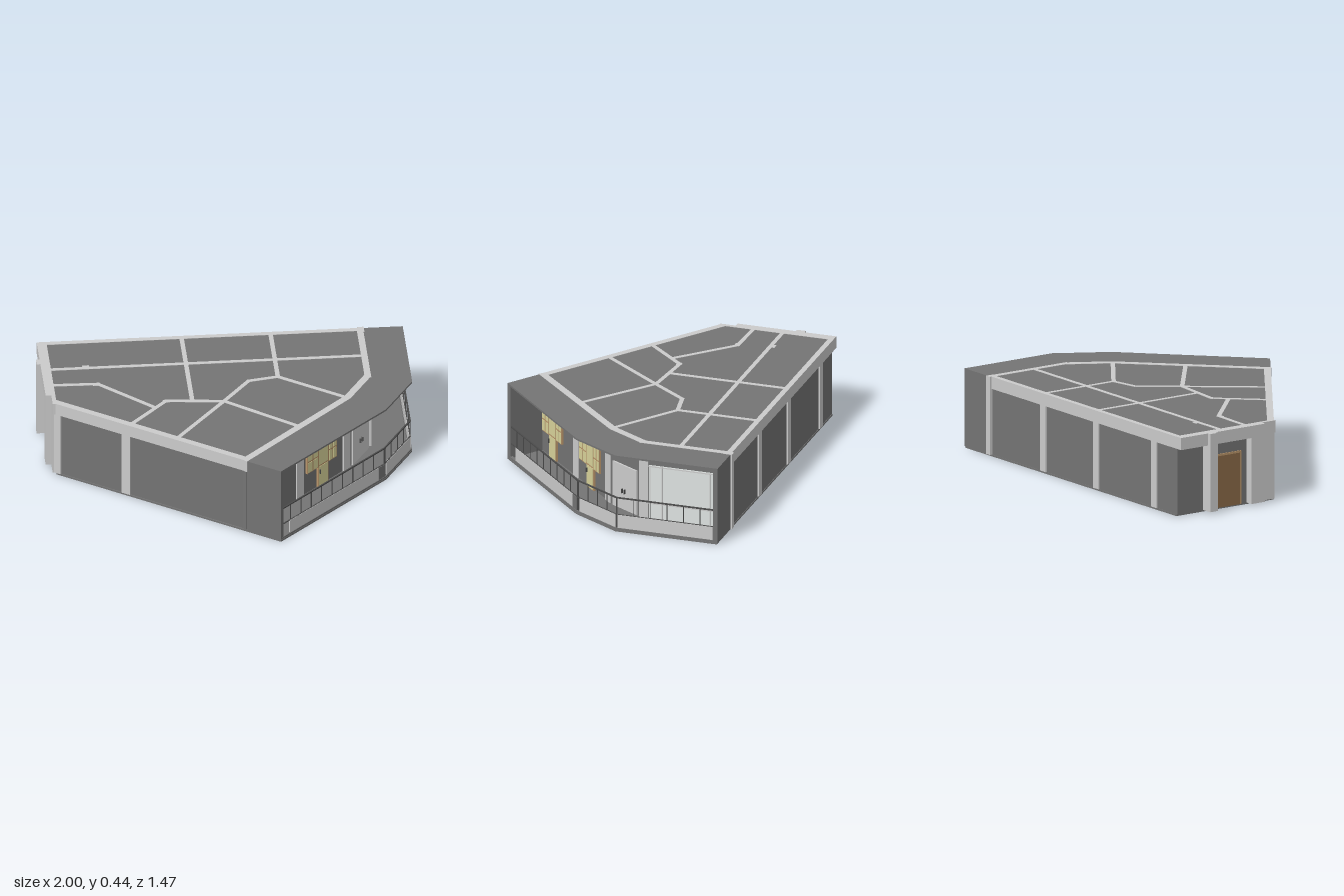
import * as THREE from 'three';

const mat = (color) => new THREE.MeshStandardMaterial({ color, flatShading: true });
const LIGHT = mat(0xcccccc), DARK = mat(0x747474), RAIL = mat(0x4c4c4c), GLASS = mat(0xdfe4e2),
  WHITE = mat(0xe2e2e2), WOOD = mat(0xb8946a), PANE = mat(0xd9d39a), DOOR = mat(0x8a6a48);

const FLOOR = 0.015, BEAM = 0.38, TOP = 0.447;

// flat slab from a plan outline of [x, z] points
function slab(root, name, pts, y0, y1, material) {
  const shape = new THREE.Shape(pts.map(([x, z]) => new THREE.Vector2(x, z)));
  const geo = new THREE.ExtrudeGeometry(shape, { depth: y1 - y0, bevelEnabled: false });
  geo.rotateX(Math.PI / 2).translate(0, y1, 0);
  const mesh = new THREE.Mesh(geo, material);
  mesh.name = name;
  root.add(mesh);
}

// a side of the building from plan point a to b; local x runs along it, local z points outward
function side(root, name, a, b) {
  const group = new THREE.Group();
  group.name = name;
  group.position.set(a[0], 0, a[1]);
  group.rotation.y = -Math.atan2(b[1] - a[1], b[0] - a[0]);
  root.add(group);
  const length = Math.hypot(b[0] - a[0], b[1] - a[1]);
  // box from u0 to u1 along the side, y0 to y1 in height, z0 to z1 in depth
  const box = (part, material, u0, u1, y0, y1, z0, z1) => {
    const mesh = new THREE.Mesh(new THREE.BoxGeometry(u1 - u0, y1 - y0, z1 - z0), material);
    mesh.position.set((u0 + u1) / 2, (y0 + y1) / 2, (z0 + z1) / 2);
    mesh.name = part;
    group.add(mesh);
  };
  return { box, length };
}

// balcony door with a window on each side, making a T
function windowDoor(box, u0, u1, d0, d1) {
  const wing = (name, a, b, y0, y1, cols, rows) => {
    box(name + 'Frame', WOOD, a, b, y0, y1, -0.02, 0.004);
    const w = (b - a) / cols, h = (y1 - y0) / rows, m = 0.005;
    for (let i = 0; i < cols; i++) for (let j = 0; j < rows; j++)
      box(name + 'Pane', PANE, a + i * w + m, a + (i + 1) * w - m, y0 + j * h + m, y0 + (j + 1) * h - m, -0.01, 0.006);
  };
  wing('leftWindow', u0, d0, 0.14, 0.28, 2, 2);
  wing('rightWindow', d1, u1, 0.14, 0.28, 2, 2);
  wing('balconyDoor', d0, d1, FLOOR, 0.28, 1, 2);
  box('doorHandle', RAIL, d0 + 0.008, d0 + 0.013, 0.1, 0.125, 0, 0.014);
}

export function createModel() {
  const root = new THREE.Group();
  root.name = 'apartment';

  // floor and ceiling
  const edge = [[0.995, -0.725], [0.995, -0.15], [0.83, 0.13], [0.21, 0.73]];
  slab(root, 'floorSlab', [[-0.93, -0.725], ...edge, [-0.93, -0.08]], 0.005, FLOOR, DARK);
  slab(root, 'ceilingSlab', [[-0.95, -0.72], ...edge, [-0.945, -0.09]], 0.435, 0.445, DARK);

  // slanted front wall, running on as the balcony end wall
  const front = side(root, 'frontWall', [-0.95, -0.09], [0.21, 0.73]);
  const end = 1.2125;
  front.box('wall', DARK, 0.02, end, FLOOR, BEAM, -0.03, -0.008);
  front.box('beam', LIGHT, 0, end, BEAM, TOP, -0.037, 0);
  front.box('balconyEndWall', DARK, end, front.length, FLOOR, 0.445, -0.025, 0);
  front.box('cornerColumn', LIGHT, 0, 0.05, FLOOR, BEAM, -0.037, 0);
  front.box('column', LIGHT, 0.43, 0.48, FLOOR, BEAM, -0.037, 0);

  // slanted facade with two window doors
  const facade = side(root, 'slantedFacade', [0.04, 0.61], [0.65, 0]);
  facade.box('wall', DARK, 0, facade.length, FLOOR, BEAM, -0.03, -0.008);
  facade.box('beam', LIGHT, -0.005, facade.length, BEAM, TOP, -0.04, 0);
  for (const [a, b] of [[0.416, 0.472], [0.806, 0.863]])
    facade.box('column', LIGHT, a, b, FLOOR, BEAM, -0.04, 0);
  windowDoor(facade.box, 0.042, 0.283, 0.127, 0.212);
  windowDoor(facade.box, 0.495, 0.742, 0.587, 0.672);

  // middle facade with a white double door
  const middle = side(root, 'middleFacade', [0.65, 0], [0.78, -0.22]);
  middle.box('wall', DARK, 0, middle.length, FLOOR, BEAM, -0.03, -0.008);
  middle.box('beam', LIGHT, 0, middle.length, BEAM, TOP, -0.04, 0);
  middle.box('door', WHITE, 0.025, 0.222, FLOOR, 0.27, -0.02, 0.002);
  for (const u of [0.108, 0.128]) middle.box('handle', RAIL, u, u + 0.004, 0.11, 0.135, 0, 0.012);

  // right facade with a wide window
  const right = side(root, 'rightFacade', [0.78, -0.21], [0.78, -0.72]);
  right.box('wall', DARK, 0, 0.51, FLOOR, BEAM, -0.03, -0.008);
  right.box('beam', LIGHT, 0, 0.51, BEAM, TOP, -0.035, 0);
  right.box('column', LIGHT, 0, 0.05, FLOOR, BEAM, -0.035, 0);
  right.box('glazing', GLASS, 0.055, 0.48, FLOOR, 0.32, -0.02, -0.002);
  for (const u of [0.06, 0.13, 0.4, 0.47]) right.box('mullion', LIGHT, u, u + 0.005, FLOOR, 0.32, -0.01, 0.002);
  for (const y of [0.098, 0.312]) right.box('transom', LIGHT, 0.055, 0.48, y, y + 0.006, -0.01, 0.002);

  // back wall from right to left
  const back = side(root, 'backWall', [0.995, -0.73], [-0.98, -0.73]);
  back.box('balconyBackWall', DARK, 0, 0.21, FLOOR, 0.445, -0.025, 0);
  back.box('wall', DARK, 0.21, 1.93, FLOOR, BEAM, -0.03, -0.008);
  back.box('beam', LIGHT, 0.23, back.length, BEAM, TOP, -0.03, 0);
  back.box('endColumn', LIGHT, 0.21, 0.245, FLOOR, TOP, -0.04, 0.01);
  for (const x of [0.28, -0.2, -0.73])
    back.box('column', LIGHT, 0.97 - x, 1.02 - x, FLOOR, BEAM, -0.03, 0);

  // left wall with the entrance
  const left = side(root, 'leftWall', [-0.98, -0.73], [-0.98, -0.17]);
  left.box('wall', DARK, 0.008, 0.64, FLOOR, BEAM, -0.065, -0.045);
  left.box('beam', LIGHT, 0, 0.56, BEAM, TOP, -0.052, 0);
  left.box('innerBeam', LIGHT, 0.56, 0.65, BEAM, TOP, -0.052, -0.03);
  left.box('entrancePillar', LIGHT, 0.18, 0.23, FLOOR, TOP, -0.052, 0.02);
  left.box('cornerPillar', LIGHT, 0.47, 0.56, FLOOR, BEAM, -0.052, 0);
  left.box('cornerColumn', LIGHT, 0.56, 0.645, FLOOR, BEAM, -0.06, -0.03);
  left.box('doorFrame', WOOD, 0.25, 0.43, FLOOR, 0.31, -0.05, -0.04);
  left.box('entranceDoor', DOOR, 0.262, 0.418, FLOOR, 0.3, -0.05, -0.036);

  // ceiling beams over the inner walls
  const beams = [
    [[-0.93, -0.44], [0.75, -0.44]],
    [[-0.2, -0.71], [-0.2, -0.05]],
    [[0.28, -0.71], [0.28, -0.26]],
    [[-0.93, -0.275], [-0.69, -0.268], [-0.41, 0]],
    [[-0.55, 0.17], [-0.34, -0.06], [-0.03, -0.03], [0.35, 0.27]],
    [[-0.31, 0.33], [-0.03, -0.03], [0.12, -0.23], [0.28, -0.26], [0.63, -0.01]],
  ];
  for (const path of beams) for (let i = 1; i < path.length; i++) {
    const b = side(root, 'innerBeam', path[i - 1], path[i]);
    b.box('beam', LIGHT, -0.008, b.length + 0.008, BEAM, TOP, -0.012, 0.012);
  }
  for (const [x, z] of [[-0.74, -0.455], [-0.7, -0.262], [-0.34, -0.055]]) {
    const post = side(root, 'innerPost', [x - 0.018, z], [x + 0.018, z]);
    post.box('post', LIGHT, 0, post.length, FLOOR, TOP, -0.012, 0.012);
  }

  // balcony parapet: low panels, thin posts and a handrail on each stretch
  const stretches = [[edge[3], edge[2], 0.083, 0.807, 10], [edge[2], edge[1], 0.02, 0.315, 4], [edge[1], edge[0], 0.01, 0.55, 6]];
  for (const [a, b, u0, u1, count] of stretches) {
    const s = side(root, 'balconyRailing', a, b);
    s.box('kerb', DARK, 0, s.length, FLOOR, 0.025, -0.02, -0.002);
    s.box('panel', WHITE, u0, u1, 0.025, 0.1, -0.016, -0.006);
    s.box('handrail', RAIL, 0, s.length, 0.194, 0.201, -0.015, -0.007);
    s.box('lowerRail', RAIL, 0, s.length, 0.098, 0.102, -0.014, -0.008);
    for (let i = 0; i <= count; i++) {
      const u = 0.004 + (s.length - 0.012) * i / count;
      s.box('post', RAIL, u, u + 0.004, FLOOR, 0.197, -0.013, -0.009);
    }
  }
  const stub = side(root, 'parapetPier', edge[3], edge[2]);
  stub.box('pier', DARK, 0.81, 0.858, FLOOR, 0.1, -0.025, -0.005);

  return root;
}
